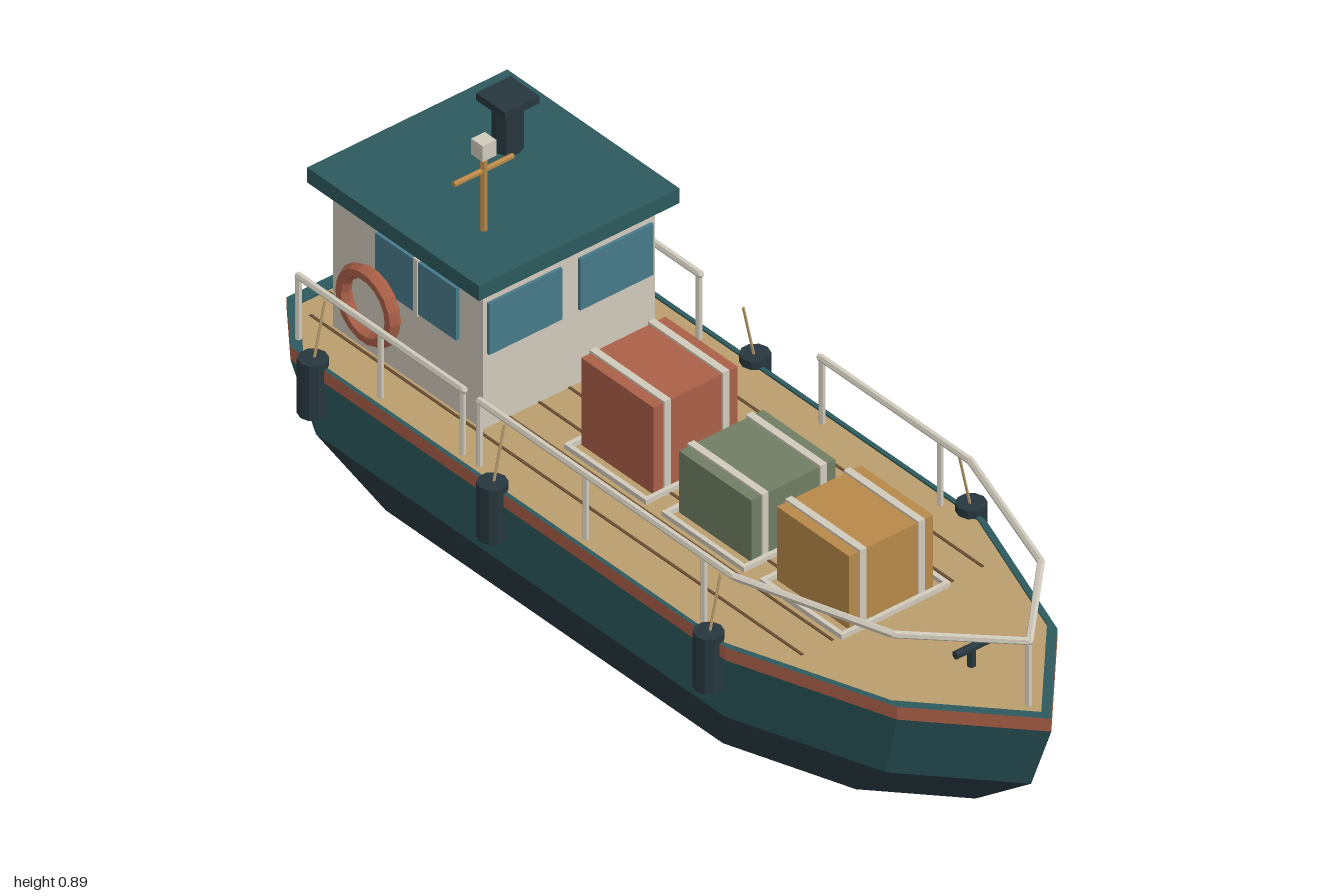
import * as THREE from 'three';

const mat = (name, color, extra = {}) => {
  const m = new THREE.MeshStandardMaterial({ color, flatShading: true, ...extra });
  m.name = name;
  return m;
};

export function createModel() {
  const M = {
    hull: mat('hull teal', 0x2c595d),
    dark: mat('dark slate', 0x27373e),
    red: mat('rust red', 0xab6048),
    deck: mat('deck tan', 0xb99d6d),
    cream: mat('cream', 0xd0cabb),
    glass: mat('window blue', 0x47798a),
    amber: mat('amber wood', 0xb88849),
    green: mat('sage green', 0x717e64),
    seam: mat('seam brown', 0x6a4e34),
  };
  const root = new THREE.Group();
  root.name = 'cargoBoat';

  const add = (name, geo, m, x = 0, y = 0, z = 0, parent = root) => {
    const mesh = new THREE.Mesh(geo, m);
    mesh.name = name;
    mesh.position.set(x, y, z);
    parent.add(mesh);
    return mesh;
  };
  // Box given by its minimum and maximum on each axis
  const box = (name, m, x0, x1, y0, y1, z0, z1, parent = root) =>
    add(name, new THREE.BoxGeometry(x1 - x0, y1 - y0, z1 - z0), m,
      (x0 + x1) / 2, (y0 + y1) / 2, (z0 + z1) / 2, parent);
  // Round bar between two points
  const bar = (name, m, a, b, r, parent = root, sides = 6) => {
    const p = new THREE.Vector3(...a), q = new THREE.Vector3(...b);
    const d = q.clone().sub(p);
    const mesh = add(name, new THREE.CylinderGeometry(r, r, d.length(), sides), m, 0, 0, 0, parent);
    mesh.position.copy(p).add(q).multiplyScalar(0.5);
    mesh.quaternion.setFromUnitVectors(new THREE.Vector3(0, 1, 0), d.normalize());
    return mesh;
  };
  const group = (name, parent = root) => {
    const g = new THREE.Group();
    g.name = name;
    parent.add(g);
    return g;
  };

  // Hull: one plan outline, scaled at each level
  const plan = [[-1, 0.225], [-0.87, 0.325], [0.42, 0.325], [0.78, 0.2], [1, 0],
    [0.78, -0.2], [0.42, -0.325], [-0.87, -0.325], [-1, -0.225]];
  const ring = (s, y) => plan.map(([x, z]) => [x * s, y, z * s]);
  const meshOf = (tris) => {
    const g = new THREE.BufferGeometry();
    g.setAttribute('position', new THREE.Float32BufferAttribute(tris.flat(), 3));
    g.computeVertexNormals();
    return g;
  };
  const band = (lo, hi) => meshOf(lo.flatMap((a, i) => {
    const j = (i + 1) % lo.length;
    return [a, lo[j], hi[j], a, hi[j], hi[i]];
  }));
  const cap = (r, up) => meshOf(r.flatMap((a, i) => {
    const b = r[(i + 1) % r.length], c = [0, a[1], 0];
    return up ? [c, a, b] : [c, b, a];
  }));
  const keel = ring(0.775, 0), chine = ring(0.94, 0.125);
  const sheer = ring(1, 0.28), rim = ring(1, 0.31), inner = ring(0.97, 0.31), deck = ring(0.97, 0.306);
  const hull = group('hull');
  add('hullBottom', cap(keel, false), M.dark, 0, 0, 0, hull);
  add('lowerHull', band(keel, chine), M.dark, 0, 0, 0, hull);
  add('upperHull', band(chine, sheer), M.hull, 0, 0, 0, hull);
  add('rubbingBand', band(sheer, rim), M.red, 0, 0, 0, hull);
  add('gunwale', band(rim, inner), M.hull, 0, 0, 0, hull);
  add('gunwaleInside', band(inner, deck), M.hull, 0, 0, 0, hull);
  add('deck', cap(deck, true), M.deck, 0, 0, 0, hull);
  for (let i = -3; i <= 3; i++) {
    const z = i * 0.075;
    box('plankSeam', M.seam, i === 3 || i === -3 ? -0.93 : -0.965, 0.53, 0.304, 0.308, z - 0.003, z + 0.003, hull);
  }

  // Wheelhouse
  const cabin = group('wheelhouse');
  box('cabinWalls', M.cream, -0.875, -0.43, 0.306, 0.64, -0.215, 0.215, cabin);
  box('roof', M.hull, -0.91, -0.4, 0.64, 0.675, -0.25, 0.25, cabin);
  for (const s of [-1, 1]) {
    const zc = s * 0.1135;
    box('frontWindow', M.glass, -0.431, -0.423, 0.48, 0.6, zc - 0.0915, zc + 0.0915, cabin);
    box('sideWindow', M.glass, -0.74, -0.5, 0.48, 0.602, s * 0.219 - 0.004, s * 0.219 + 0.004, cabin);
    box('windowBar', M.cream, -0.625, -0.613, 0.475, 0.608, s * 0.221 - 0.004, s * 0.221 + 0.004, cabin);
  }
  box('door', M.dark, -0.882, -0.874, 0.31, 0.6, -0.02, 0.125, cabin);
  box('doorWindow', M.glass, -0.887, -0.88, 0.48, 0.585, 0.01, 0.095, cabin);
  add('lifebuoy', new THREE.TorusGeometry(0.073, 0.016, 6, 18), M.red, -0.737, 0.443, 0.243, cabin);

  // Funnel and mast on the roof
  bar('funnel', M.dark, [-0.715, 0.67, -0.087], [-0.715, 0.785, -0.087], 0.031, cabin, 8);
  box('funnelCap', M.dark, -0.758, -0.672, 0.781, 0.798, -0.13, -0.044, cabin);
  bar('mast', M.amber, [-0.537, 0.675, 0.123], [-0.537, 0.855, 0.123], 0.008, cabin);
  bar('mastCrossbar', M.amber, [-0.537, 0.815, 0.05], [-0.537, 0.815, 0.198], 0.006, cabin);
  box('mastLamp', M.cream, -0.554, -0.52, 0.85, 0.887, 0.106, 0.14, cabin);

  // Strapped cargo crates, each inside a low deck frame
  [[-0.162, 0.512, M.red], [0.128, 0.452, M.green], [0.418, 0.48, M.amber]].forEach(([x, top, m]) => {
    const g = group('cargo');
    box('crate', m, x - 0.107, x + 0.107, 0.308, top, -0.105, 0.105, g);
    for (const s of [-1, 1]) {
      const z = s * 0.073;
      box('strapTop', M.cream, x - 0.111, x + 0.111, top, top + 0.005, z - 0.008, z + 0.008, g);
      for (const e of [-1, 1]) {
        const sx = x + e * 0.109;
        box('strapSide', M.cream, sx - 0.002, sx + 0.002, 0.308, top, z - 0.008, z + 0.008, g);
      }
      box('frameLong', M.cream, x - 0.122, x + 0.122, 0.306, 0.317, s * 0.131 - 0.005, s * 0.131 + 0.005, g);
      const fx = x + s * 0.117;
      box('frameShort', M.cream, fx - 0.005, fx + 0.005, 0.306, 0.317, -0.126, 0.126, g);
    }
  });

  // Railings: straight aft runs, and one forward run around the bow
  const rails = group('railings');
  const railY = 0.457, railZ = 0.295;
  const rail = (pts, posts) => {
    for (let i = 0; i + 1 < pts.length; i++) {
      const [a, b] = [pts[i], pts[i + 1]];
      bar('rail', M.cream, [a[0], railY, a[1]], [b[0], railY, b[1]], 0.008, rails);
      add('railJoint', new THREE.IcosahedronGeometry(0.0085, 0), M.cream, b[0], railY, b[1], rails);
    }
    posts.forEach(([x, z]) => bar('railPost', M.cream, [x, 0.306, z], [x, railY, z], 0.007, rails));
  };
  for (const s of [-1, 1]) {
    rail([[-0.885, s * railZ], [-0.392, s * railZ]], [-0.882, -0.638, -0.395].map((x) => [x, s * railZ]));
  }
  rail([[-0.348, railZ], [0.41, railZ], [0.75, 0.185], [0.935, 0], [0.75, -0.185], [0.41, -railZ], [-0.035, -railZ]],
    [[-0.345, railZ], [-0.03, railZ], [0.32, railZ], [0.932, 0], [0.32, -railZ], [-0.03, -railZ]]);

  // Fenders hung from ropes along both sides
  for (const s of [-1, 1]) for (const x of [-0.8, -0.268, 0.373]) {
    const g = group('fender');
    bar('fenderBody', M.dark, [x, 0.197, s * 0.328], [x, 0.325, s * 0.328], 0.031, g, 10);
    bar('fenderRope', M.deck, [x, 0.32, s * 0.325], [x, 0.445, s * 0.298], 0.003, g, 5);
  }

  // Mooring cleats at bow and stern
  for (const x of [0.763, -0.932]) {
    const g = group('cleat');
    bar('cleatPost', M.dark, [x, 0.304, 0], [x, 0.345, 0], 0.009, g);
    bar('cleatBar', M.dark, [x, 0.348, -0.041], [x, 0.348, 0.041], 0.009, g);
  }
  return root;
}
